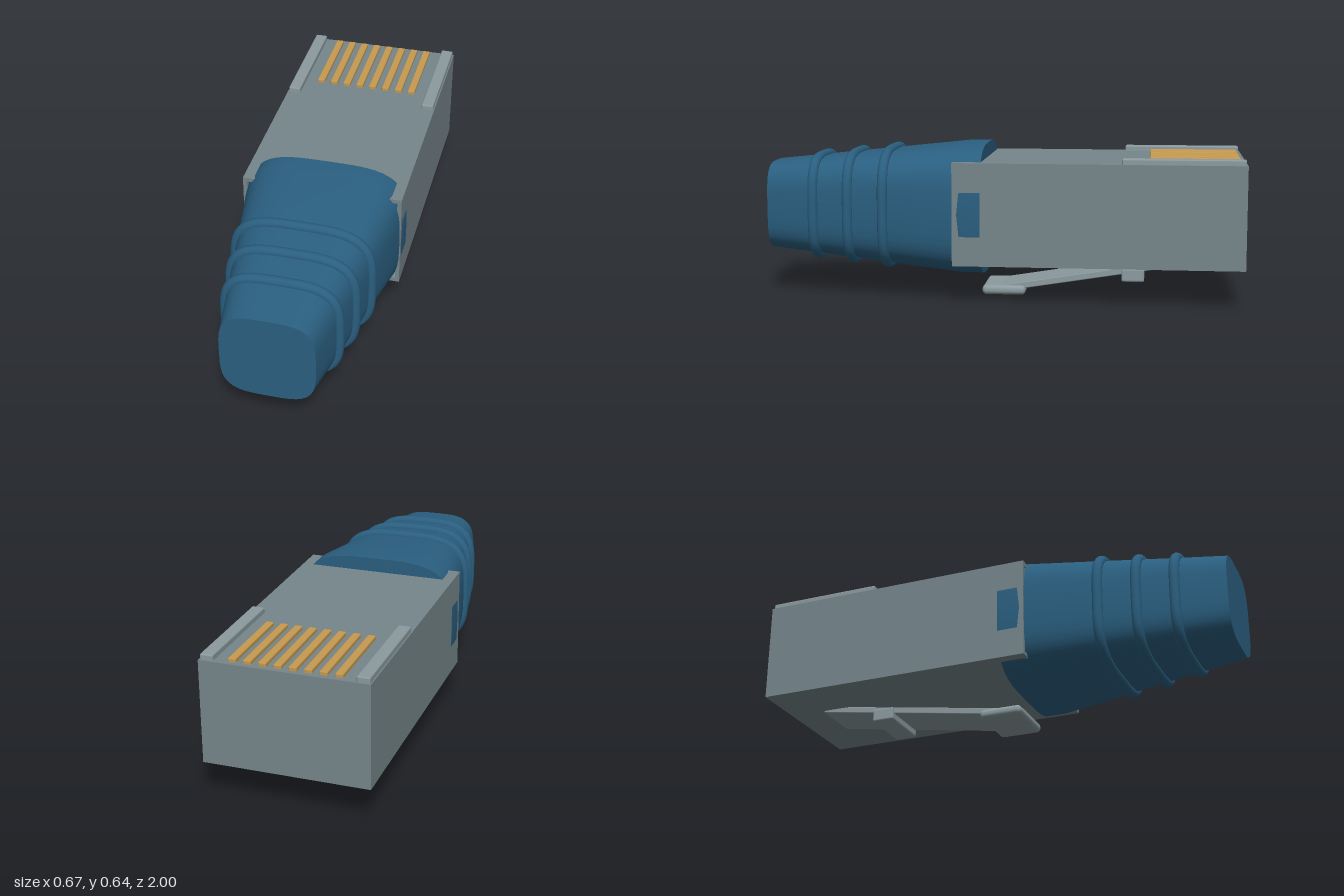
import * as THREE from 'three';
import { toCreasedNormals } from 'three/addons/utils/BufferGeometryUtils.js';
import { RoundedBoxGeometry } from 'three/addons/geometries/RoundedBoxGeometry.js';

const MID_Y = 0.37; // height of the cable axis
const SIDES = 48;

const paint = (color) => new THREE.MeshStandardMaterial({ color });
const shellGrey = paint(0x76868b);
const trimGrey = paint(0x8b9a9f);
const blue = paint(0x2a5f80);
const gold = paint(0xc69a50);

function add(parent, name, geometry, material, x = 0, y = 0, z = 0) {
  const mesh = new THREE.Mesh(geometry, material);
  mesh.name = name;
  mesh.position.set(x, y, z);
  parent.add(mesh);
  return mesh;
}

// Rounded-square outline of the boot at depth z, counter-clockwise seen from the front
function bootSection(z) {
  const t = Math.max(0, (z - 0.16) / 0.84);
  const w = 0.337 - 0.149 * t;
  const h = 0.272 - 0.085 * t;
  const bend = (v) => Math.sign(v) * Math.abs(v) ** (2 / 3.6);
  return Array.from({ length: SIDES }, (_, i) => {
    const a = (i / SIDES) * Math.PI * 2;
    return new THREE.Vector3(w * bend(Math.cos(a)), MID_Y + h * bend(Math.sin(a)), z);
  });
}

// Skin over the sections, closed by a flat cap at both ends
function loftBoot(depths) {
  const points = depths.flatMap(bootSection);
  const last = (depths.length - 1) * SIDES;
  const back = points.length;
  points.push(new THREE.Vector3(0, MID_Y, depths[0]));
  points.push(new THREE.Vector3(0, MID_Y, depths[depths.length - 1]));
  const index = [];
  for (let j = 0; j < SIDES; j++) {
    const k = (j + 1) % SIDES;
    for (let r = 0; r < last; r += SIDES) {
      index.push(r + j, r + k, r + SIDES + k, r + j, r + SIDES + k, r + SIDES + j);
    }
    index.push(back, k, j, back + 1, last + j, last + k);
  }
  const geometry = new THREE.BufferGeometry().setFromPoints(points);
  geometry.setIndex(index);
  return toCreasedNormals(geometry, 0.6);
}

function rectangle(Type, w, y0, y1) {
  return new Type([[-w, y0], [w, y0], [w, y1], [-w, y1]].map(([x, y]) => new THREE.Vector2(x, y)));
}

export function createModel() {
  const model = new THREE.Group();
  model.name = 'networkPlug';

  // Plug housing: solid block with a thin-walled collar around the boot
  const housing = new THREE.Group();
  housing.name = 'housing';
  model.add(housing);
  add(housing, 'housingBlock', new THREE.BoxGeometry(0.67, 0.424, 1.07), shellGrey, 0, MID_Y, -0.465);
  const rim = rectangle(THREE.Shape, 0.335, 0.158, 0.582);
  rim.holes.push(rectangle(THREE.Path, 0.317, 0.175, 0.565));
  add(housing, 'housingCollar', new THREE.ExtrudeGeometry(rim, { depth: 0.12, bevelEnabled: false }), shellGrey, 0, 0, 0.07);

  // Guide rails along both upper edges
  for (const side of [-1, 1]) {
    add(model, side > 0 ? 'leftRail' : 'rightRail', new RoundedBoxGeometry(0.052, 0.04, 0.494, 2, 0.006), trimGrey, side * 0.304, 0.585, -0.747);
  }

  // Eight contacts
  const contacts = new THREE.Group();
  contacts.name = 'contacts';
  model.add(contacts);
  for (let i = 0; i < 8; i++) {
    add(contacts, 'contact', new RoundedBoxGeometry(0.032, 0.03, 0.37, 1, 0.004), gold, (i - 3.5) * 0.0595, 0.582, -0.795);
  }

  // Tapered strain-relief boot with three ribs
  const boot = new THREE.Group();
  boot.name = 'boot';
  model.add(boot);
  add(boot, 'bootBody', loftBoot([0.075, 0.16, 0.44, 0.72, 1]), blue);
  for (const z of [0.488, 0.642, 0.795]) {
    const path = new THREE.CatmullRomCurve3(bootSection(z), true);
    add(boot, 'bootRib', new THREE.TubeGeometry(path, 96, 0.022, 12, true), blue);
  }

  // Sloping latch lever with its stop and thumb tab
  const latch = new THREE.Group();
  latch.name = 'latch';
  model.add(latch);
  const lever = add(latch, 'latchLever', new RoundedBoxGeometry(0.21, 0.028, 0.85, 1, 0.004), trimGrey, 0, 0.096, -0.42);
  lever.rotation.x = Math.atan(0.164);
  add(latch, 'latchStop', new RoundedBoxGeometry(0.236, 0.056, 0.096, 2, 0.008), trimGrey, 0, 0.093, -0.545);
  add(latch, 'latchTab', new RoundedBoxGeometry(0.25, 0.04, 0.184, 4, 0.018), trimGrey, 0, 0.02, 0);

  return model;
}
